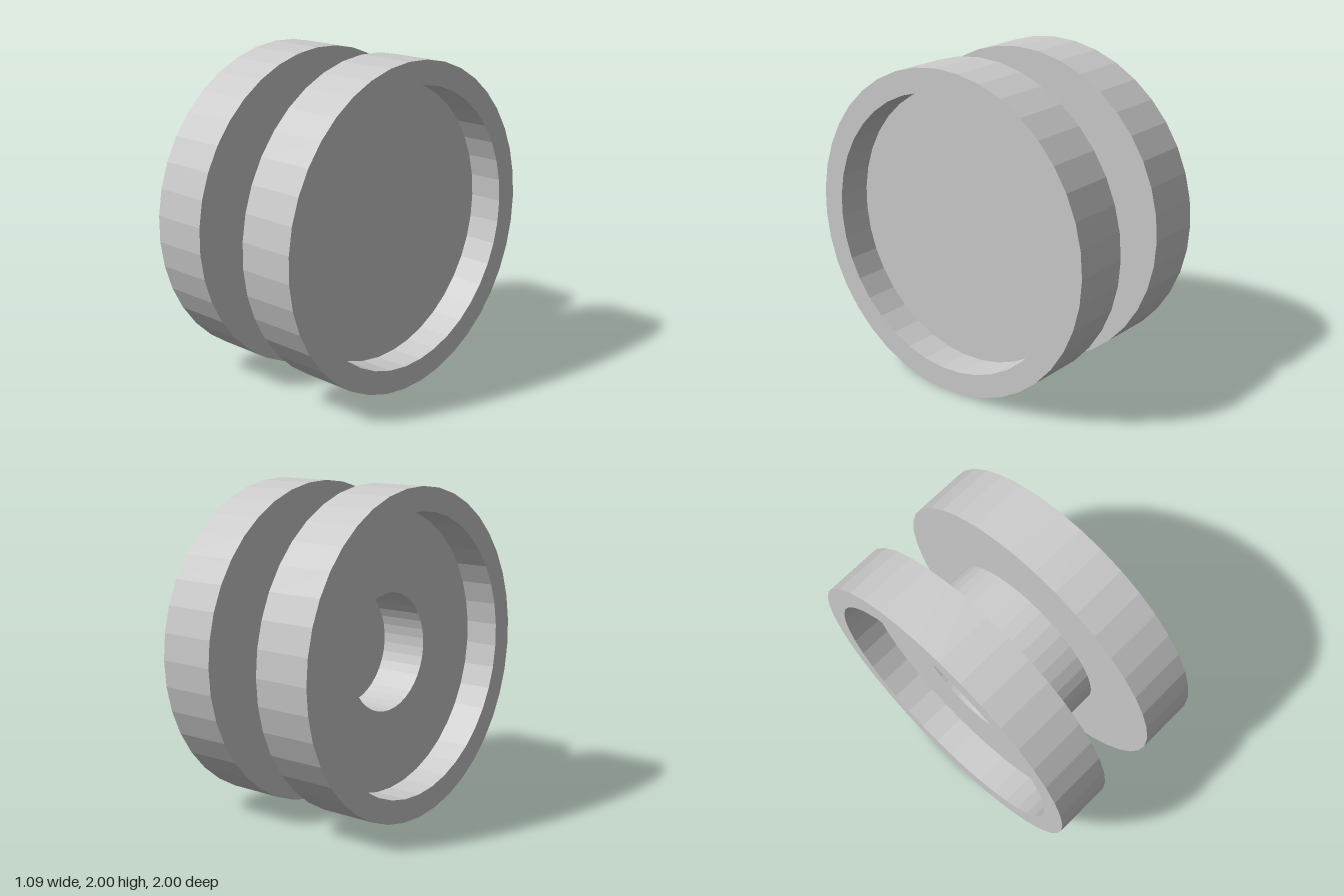
import * as THREE from 'three';

const SIDES = 39;
const RIM = 1, RECESS = 0.855, HUB = 0.545, BORE = 0.36; // radii
const OUTER = 0.545, INNER = 0.182, FLOOR = 0.33;        // distances along the axle
const BORE_END = -0.03;

export function createModel() {
  const group = new THREE.Group();
  group.name = 'spool';
  const material = new THREE.MeshStandardMaterial({ color: 0xcccccc, flatShading: true });

  // Turn a [radius, axial] profile around the x axis
  function turned(name, profile) {
    const points = profile.map(([r, a]) => new THREE.Vector2(r, a));
    const geometry = new THREE.LatheGeometry(points, SIDES, Math.PI);
    geometry.rotateZ(-Math.PI / 2);
    const mesh = new THREE.Mesh(geometry, material);
    mesh.name = name;
    mesh.position.y = RIM;
    group.add(mesh);
  }

  // Flange with a shallow recess and a solid floor
  turned('leftFlange', [
    [HUB, INNER], [RIM, INNER], [RIM, OUTER],
    [RECESS, OUTER], [RECESS, FLOOR], [0, FLOOR],
  ]);

  // Flange whose recess floor opens into the bore
  turned('rightFlange', [
    [BORE, -FLOOR], [RECESS, -FLOOR], [RECESS, -OUTER],
    [RIM, -OUTER], [RIM, -INNER], [HUB, -INNER],
  ]);

  // Hub between the flanges
  turned('hub', [[HUB, -INNER], [HUB, INNER]]);

  // Blind bore running into the hub
  turned('bore', [[0, BORE_END], [BORE, BORE_END], [BORE, -FLOOR]]);

  return group;
}
